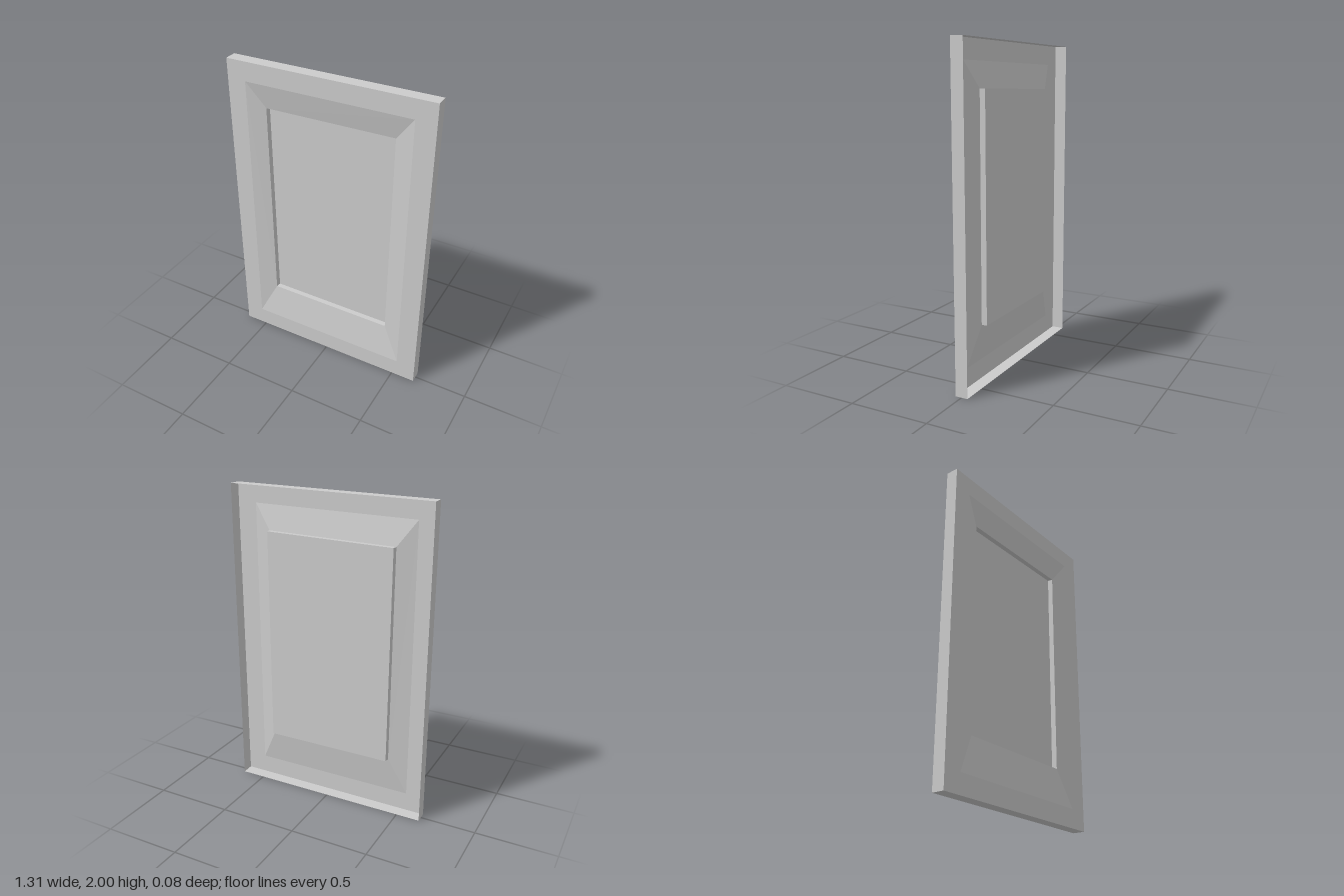
import * as THREE from 'three';

const material = new THREE.MeshStandardMaterial({ color: 0xcccccc, flatShading: true, side: THREE.DoubleSide });

// Ring of four corners, counter-clockwise seen from the front
const ring = (corners, z) => corners.map(([x, y]) => new THREE.Vector3(x, y, z));

function quads(name, list) {
  const points = [];
  for (const [a, b, c, d] of list) points.push(a, b, c, a, c, d);
  const geometry = new THREE.BufferGeometry().setFromPoints(points);
  geometry.computeVertexNormals();
  const mesh = new THREE.Mesh(geometry, material);
  mesh.name = name;
  return mesh;
}

// Four quads joining an outer ring to the next inner ring
const band = (name, outer, inner) => quads(name, outer.map((p, i) => {
  const j = (i + 1) % 4;
  return [p, outer[j], inner[j], inner[i]];
}));

export function createModel() {
  const group = new THREE.Group();
  group.name = 'panelDoor';

  const outline = [[-0.65, 0], [0.655, 0], [0.655, 2], [-0.655, 1.985]];
  const frame = [[-0.53, 0.12], [0.53, 0.12], [0.53, 1.88], [-0.535, 1.865]];
  const opening = [[-0.412, 0.355], [0.415, 0.355], [0.415, 1.725], [-0.42, 1.708]];

  const back = ring(outline, -0.039);
  const front = ring(outline, 0.039);
  const bevelTop = ring(frame, 0.039);
  const bevelBase = ring(opening, 0.005);
  const panel = ring(opening.map(([x, y]) => [x * 0.993, y]), -0.028);

  // One pressed sheet, open at the back
  group.add(
    band('edges', back, front),
    band('frameFace', front, bevelTop),
    band('bevel', bevelTop, bevelBase),
    band('panelStep', bevelBase, panel),
    quads('panel', [panel])
  );
  return group;
}
